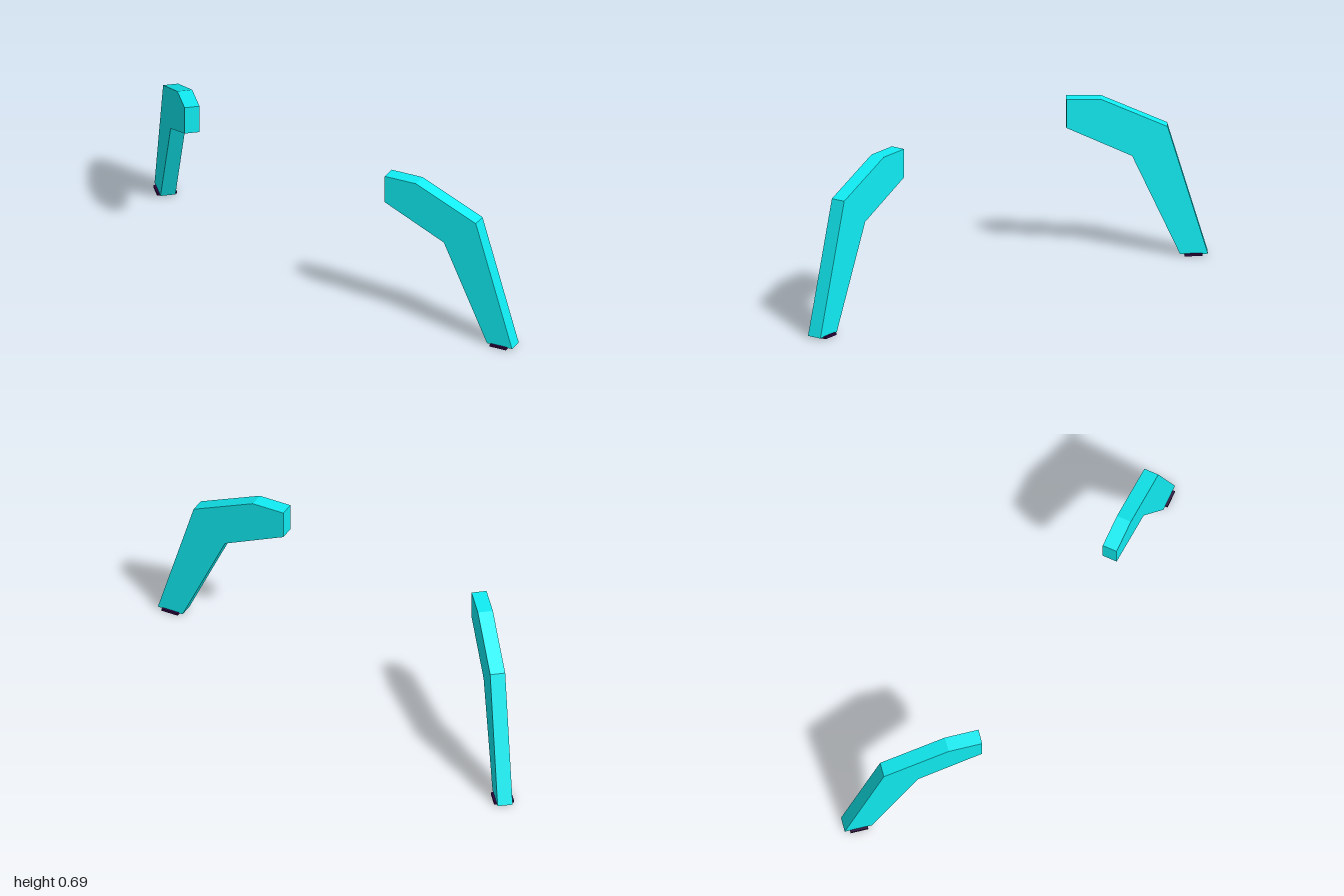
import * as THREE from 'three';

const THICKNESS = 0.064;
// Side profile of a leg: distance from its inner end, height
const PROFILE = [
  [0, 0.69], [0, 0.566], [0.276, 0.44], [0.477, 0.007],
  [0.594, 0.007], [0.425, 0.567], [0.145, 0.69],
];

function createLeg(name, legMaterial, padMaterial) {
  const leg = new THREE.Group();
  leg.name = name;

  // Flat bent beam
  const shape = new THREE.Shape(PROFILE.map(([r, y]) => new THREE.Vector2(r, y)));
  const geometry = new THREE.ExtrudeGeometry(shape, { depth: THICKNESS, bevelEnabled: false });
  geometry.translate(0, 0, -THICKNESS / 2);
  const beam = new THREE.Mesh(geometry, legMaterial);
  beam.name = name + 'Beam';

  // Thin foot pad, a little wider than the beam
  const pad = new THREE.Mesh(new THREE.BoxGeometry(0.076, 0.01, 0.085), padMaterial);
  pad.name = name + 'FootPad';
  pad.position.set(0.533, 0.005, 0);

  leg.add(beam, pad);
  return leg;
}

export function createModel() {
  const model = new THREE.Group();
  model.name = 'legPair';
  const legMaterial = new THREE.MeshStandardMaterial({ color: 0x10eef4 });
  const padMaterial = new THREE.MeshStandardMaterial({ color: 0x2e0440 });

  // Inner end position and outward direction of each leg
  const legs = [
    { name: 'frontLeg', x: 0.047, z: 0.485, dx: 0.545, dz: 0.838 },
    { name: 'backLeg', x: -0.367, z: -0.424, dx: 0.319, dz: -0.948 },
  ];
  for (const { name, x, z, dx, dz } of legs) {
    const leg = createLeg(name, legMaterial, padMaterial);
    leg.position.set(x, 0, z);
    leg.rotation.y = Math.atan2(-dz, dx);
    model.add(leg);
  }
  return model;
}
